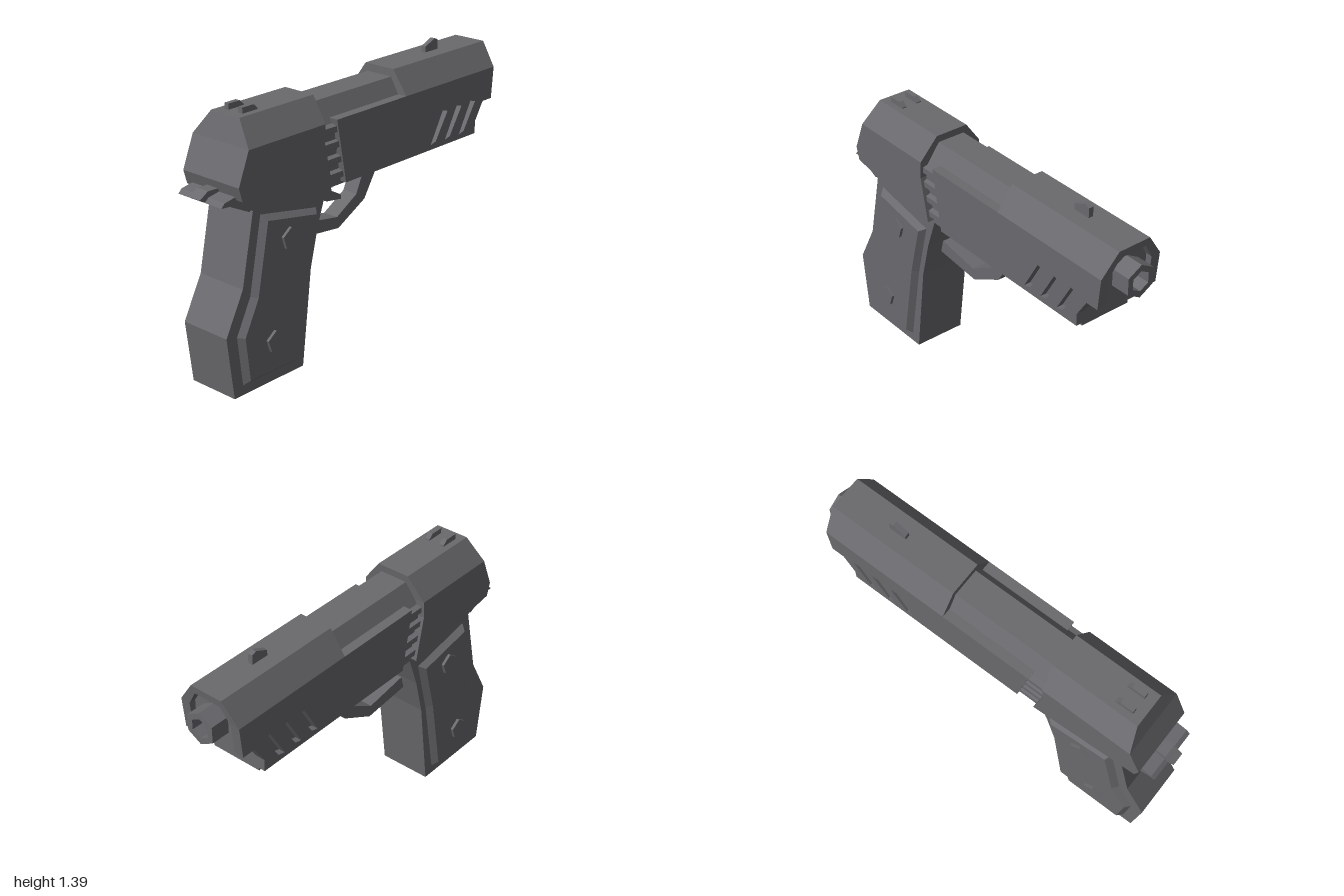
import * as THREE from 'three';

const steel = new THREE.MeshStandardMaterial({ color: 0x6a6a6e });
steel.name = 'gunmetal grey';

const toShape = pts => new THREE.Shape(pts.map(p => new THREE.Vector2(p[0], p[1])));
const mirrored = half => [...half, ...half.map(([z, y]) => [-z, y]).reverse()];
const polygon = (n, r, cx, cy) => Array.from({ length: n }, (_, i) => {
  const a = Math.PI / 2 + (i / n) * Math.PI * 2;
  return [cx + r * Math.cos(a), cy + r * Math.sin(a)];
});

export function createModel() {
  const model = new THREE.Group();
  model.name = 'pistol';

  function add(name, geometry) {
    const mesh = new THREE.Mesh(geometry, steel);
    mesh.name = name;
    model.add(mesh);
    return mesh;
  }
  function warp(geometry, rule) {
    const p = geometry.attributes.position;
    const v = new THREE.Vector3();
    for (let i = 0; i < p.count; i++) {
      rule(v.fromBufferAttribute(p, i));
      p.setXYZ(i, v.x, v.y, v.z);
    }
    geometry.computeVertexNormals();
    return geometry;
  }
  // Side outline (x, y) thickened between two z values
  function slab(outline, z0, z1, holes = []) {
    const shape = toShape(outline);
    holes.forEach(h => shape.holes.push(toShape(h)));
    return new THREE.ExtrudeGeometry(shape, { depth: z1 - z0, bevelEnabled: false }).translate(0, 0, z0);
  }
  // Cross-section (z, y) run along x
  function run(section, x0, x1, hole) {
    const shape = toShape(section);
    if (hole) shape.holes.push(toShape(hole));
    return new THREE.ExtrudeGeometry(shape, { depth: x1 - x0, bevelEnabled: false })
      .rotateY(Math.PI / 2).translate(x0, 0, 0);
  }

  // Frame and grip
  add('frame', slab([[-0.86, 0.95], [-0.78, 0.9], [-0.3, 0.87], [0.79, 0.87], [0.79, 0.96],
    [0.84, 1.05], [0.84, 1.1], [-0.8, 1.1]], -0.14, 0.14));
  add('grip', slab([[-0.925, 0.01], [-0.47, 0.01], [-0.41, 0.5], [-0.36, 0.7], [-0.29, 0.9],
    [-0.5, 1], [-0.76, 1], [-0.855, 0.54], [-0.965, 0.33]], -0.14, 0.14));
  add('gripBase', slab([[-0.86, 0], [-0.53, 0], [-0.53, 0.02], [-0.86, 0.02]], -0.1, 0.1));
  add('tang', slab([[-0.97, 0.965], [-0.92, 0.96], [-0.8, 0.9], [-0.76, 0.97], [-0.86, 1.0], [-0.95, 0.985]], -0.14, 0.14));
  add('hammer', slab([[-1, 0.985], [-0.98, 0.972], [-0.92, 0.965], [-0.83, 0.93], [-0.83, 1.01], [-0.95, 1.015]], -0.035, 0.035));

  // Bevelled panels on both sides of the grip, and their bolts
  add('gripPanels', new THREE.ExtrudeGeometry(toShape([[-0.87, 0.06], [-0.52, 0.06], [-0.445, 0.5],
    [-0.37, 0.8], [-0.735, 0.87], [-0.81, 0.49], [-0.9, 0.315]]),
  { depth: 0.28, bevelEnabled: true, bevelSegments: 1, bevelThickness: 0.03, bevelSize: 0.025, bevelOffset: -0.025 })
    .translate(0, 0, -0.14));
  for (const [x, y] of [[-0.58, 0.72], [-0.69, 0.235]]) {
    add('gripBolt', slab(polygon(5, 0.055, x, y), -0.185, 0.185));
  }

  // Inner barrel housing
  add('barrelHousing', run(mirrored([[0.145, 1.05], [0.145, 1.17], [0.075, 1.29]]), -0.6, 0.9));

  // Rear slide: straight sides below, chamfers above
  add('rearSlide', slab([[-0.88, 0.98], [-0.3, 0.89], [-0.35, 1.12], [-0.345, 1.21],
    [-0.835, 1.21], [-0.9, 1.05]], -0.18, 0.18));
  add('rearSlideTop', warp(slab([[-0.835, 1.21], [-0.345, 1.21], [-0.33, 1.33], [-0.8, 1.33]], -0.18, 0.18),
    v => { if (v.y > 1.3) v.z *= 0.5; }));

  // Grooved ribs between the slide sections
  for (let i = 0; i < 4; i++) {
    const y = 0.925 + i * 0.077;
    add('rib', run(mirrored([[0.13, y - 0.03], [0.165, y - 0.01], [0.165, y + 0.02], [0.13, y + 0.03]]), -0.4, -0.18));
  }

  // Side panels with three slanted vents
  const vents = [0, 1, 2].map(i => {
    const x = 0.43 + i * 0.113;
    return [[x, 0.91], [x + 0.04, 0.92], [x + 0.13, 1.06], [x + 0.09, 1.07]];
  });
  for (const z0 of [-0.175, 0.125]) {
    add('sidePanel', slab([[-0.2, 0.885], [0.79, 0.885], [0.79, 0.95], [0.85, 1.045], [0.92, 1.045],
      [0.935, 1.21], [-0.26, 1.21]], z0, z0 + 0.05, vents));
  }

  // Hollow front slide cover with a slanted nose
  const cover = [[0.175, 1.21], [0.09, 1.33], [-0.09, 1.33], [-0.175, 1.21],
    [-0.122, 1.21], [-0.075, 1.29], [0.075, 1.29], [0.122, 1.21]];
  add('frontSlideTop', warp(run(cover, 0.235, 0.935), v => {
    if (v.x > 0.5) v.x += (v.y - 1.21) * 0.13;
  }));

  // Hexagonal muzzle
  add('muzzle', run(polygon(6, 0.086, 0, 1.165), 0.88, 1, polygon(6, 0.053, 0, 1.165)));

  // Sights
  add('frontSight', slab([[0.575, 1.32], [0.67, 1.32], [0.67, 1.38], [0.645, 1.39], [0.575, 1.36]], -0.013, 0.013));
  for (const z of [-0.044, 0.044]) {
    add('rearSight', slab([[-0.75, 1.32], [-0.655, 1.32], [-0.655, 1.335], [-0.68, 1.358], [-0.75, 1.358]], z - 0.013, z + 0.013));
  }

  // Trigger, guard and underside rail
  add('triggerGuard', slab([[-0.39, 0.62], [-0.11, 0.59], [0.08, 0.69], [0.2, 0.88], [0.09, 0.88],
    [0.02, 0.73], [-0.12, 0.65], [-0.39, 0.695]], -0.043, 0.043));
  add('trigger', slab([[-0.24, 0.88], [-0.225, 0.81], [-0.18, 0.745], [-0.075, 0.73], [-0.08, 0.755],
    [-0.145, 0.79], [-0.16, 0.88]], -0.03, 0.03));
  add('rail', slab([[0.43, 0.84], [0.63, 0.84], [0.63, 0.88], [0.43, 0.88]], -0.07, 0.07));

  return model;
}
